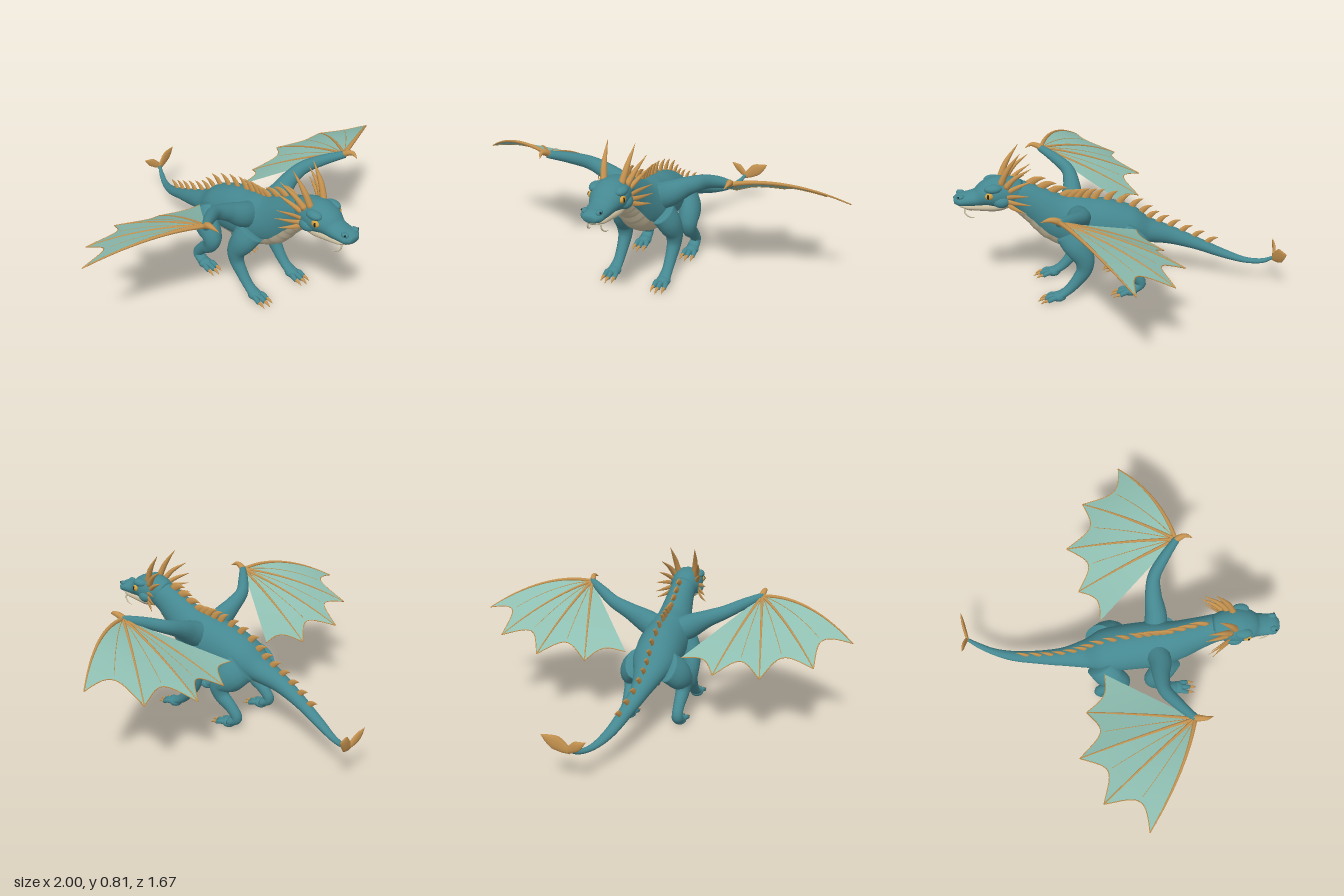
import * as THREE from 'three';

const mat = (name, color, side = THREE.FrontSide) => {
  const m = new THREE.MeshStandardMaterial({ color, side });
  m.name = name;
  return m;
};
const V = (a) => new THREE.Vector3(a[0], a[1], a[2]);
const X = V([1, 0, 0]), Y = V([0, 1, 0]), Z = V([0, 0, 1]);

// Smooth path through stations [x, y, z, halfWidth, halfHeight], with a frame at any t
function makePath(stations, ref = X) {
  const centre = new THREE.CatmullRomCurve3(stations.map(V));
  const size = new THREE.CatmullRomCurve3(stations.map((s) => V([s[3], s[4] ?? s[3], 0])));
  return (t) => {
    const p = centre.getPoint(t), T = centre.getTangent(t), r = size.getPoint(t);
    const S = ref.clone().addScaledVector(T, -ref.dot(T)).normalize();
    return { p, T, S, N: T.clone().cross(S), w: Math.max(r.x, 0), h: Math.max(r.y, 0) };
  };
}

// Skin a path with elliptical rings; an arc below a full turn gives an open strip
function skin(path, { seg = 20, sides = 12, t0 = 0, t1 = 1, a0 = 0, a1 = Math.PI * 2, scale = () => 1 } = {}) {
  const full = a1 - a0 > 6.28, cols = full ? sides : sides + 1;
  const pos = [], idx = [], first = full ? -1 : 0, last = full ? seg + 1 : seg;
  for (let i = first; i <= last; i++) {
    const t = t0 + (t1 - t0) * Math.min(seg, Math.max(0, i)) / seg;
    const f = path(t), k = i < 0 || i > seg ? 0 : scale(t, i);
    for (let j = 0; j < cols; j++) {
      const a = a0 + (a1 - a0) * j / sides;
      const q = f.p.clone().addScaledVector(f.S, Math.cos(a) * f.w * k).addScaledVector(f.N, Math.sin(a) * f.h * k);
      pos.push(q.x, q.y, q.z);
    }
  }
  for (let i = 0; i < last - first; i++) for (let j = 0; j < sides; j++) {
    const n = (j + 1) % cols, a = i * cols + j, b = i * cols + n;
    idx.push(a, b, a + cols, b, b + cols, a + cols);
  }
  const g = new THREE.BufferGeometry();
  g.setAttribute('position', new THREE.Float32BufferAttribute(pos, 3));
  g.setIndex(idx);
  g.computeVertexNormals();
  return g;
}

export function createModel() {
  const root = new THREE.Group();
  root.name = 'dragon';
  const teal = mat('teal hide', 0x458891);
  const cream = mat('cream belly', 0xc9bd9f);
  const gold = mat('golden horn', 0xc6934f);
  const web = mat('wing membrane', 0x8fbfb2, THREE.DoubleSide);
  const amber = mat('amber eye', 0xd9a23c);
  const dark = mat('dark pupil', 0x1d2426);

  const add = (name, geo, m, parent = root) => {
    const mesh = new THREE.Mesh(geo, m);
    mesh.name = name;
    parent.add(mesh);
    return mesh;
  };
  const sweep = (name, st, m, parent, ref, opt) => add(name, skin(makePath(st, ref), opt), m, parent);
  const ball = (name, p, r, m, parent, sc = [1, 1, 1]) => {
    const mesh = add(name, new THREE.SphereGeometry(r, 16, 12), m, parent);
    mesh.position.set(...p);
    mesh.scale.set(...sc);
  };
  const group = (name) => {
    const g = new THREE.Group();
    g.name = name;
    root.add(g);
    return g;
  };

  // Neck, trunk and tail in one sweep
  const body = makePath([
    [0, .585, .60, .07, .075], [0, .56, .51, .07, .08], [0, .50, .42, .08, .098], [0, .42, .31, .10, .128],
    [0, .385, .20, .12, .14], [0, .37, .08, .12, .135], [0, .345, -.05, .115, .112], [0, .312, -.15, .08, .068],
    [.005, .272, -.28, .05, .048], [.03, .222, -.42, .036, .033], [.07, .165, -.57, .027, .023],
    [.115, .14, -.68, .018, .015], [.155, .15, -.76, .014, .012], [.18, .18, -.81, .008, .008]]);
  add('body', skin(body, { seg: 90, sides: 28 }), teal);

  // Overlapping belly plates
  const plates = 15, rows = 6;
  add('bellyPlates', skin(body, {
    seg: plates * rows, sides: 14, t0: .06, t1: .56, a0: Math.PI * .2, a1: Math.PI * .8,
    scale: (t, i) => 1.012 + .03 * (i % rows) / rows
  }), cream);

  // Row of swept-back fins along the spine
  const spines = group('spines');
  for (let i = 0; i < 18; i++) {
    const k = i / 17, f = body(.095 + .625 * k), s = 1.05 - .25 * k;
    const at = (back, up, w, h) => {
      const q = f.p.clone().addScaledVector(f.N, -f.h - up * s).addScaledVector(f.T, back * s);
      return [q.x, q.y, q.z, w * s, h * s];
    };
    sweep('spine', [at(-.012, -.012, .009, .02), at(.004, .02, .008, .019), at(.024, .042, .005, .011), at(.05, .056, .001, .001)],
      gold, spines, X, { seg: 8, sides: 8 });
  }

  // Head with cream lower jaw
  const head = group('head');
  sweep('skull', [[0, .575, .50, .06, .065], [0, .585, .56, .082, .08], [0, .59, .62, .09, .08], [0, .585, .67, .082, .066],
    [0, .567, .72, .062, .044], [0, .562, .77, .058, .034], [0, .56, .81, .056, .031], [0, .556, .836, .03, .016]],
  teal, head, X, { seg: 30, sides: 20 });
  sweep('lowerJaw', [[0, .535, .56, .055, .03], [0, .523, .62, .064, .033], [0, .522, .70, .054, .026],
    [0, .527, .77, .048, .018], [0, .532, .81, .025, .01]], cream, head, X, { seg: 16, sides: 16 });

  for (const s of [1, -1]) {
    const side = s > 0 ? 'left' : 'right';
    const m = (list) => list.map(([x, ...r]) => [x * s, ...r]);

    // Brow, eye, cheek and nostril
    ball(side + 'Brow', [.066 * s, .63, .638], .03, teal, head, [.95, .75, 1.5]);
    ball(side + 'Eye', [.079 * s, .597, .66], .02, amber, head, [.7, .9, 1.1]);
    ball(side + 'Pupil', [.0895 * s, .598, .666], .0095, dark, head, [.5, 1.3, .7]);
    ball(side + 'Cheek', [.064 * s, .56, .60], .035, teal, head, [1, .95, 1.3]);
    ball(side + 'Nostril', [.035 * s, .584, .803], .015, teal, head, [1, .8, 1.4]);
    ball(side + 'NostrilHole', [.046 * s, .588, .813], .005, dark, head);

    // Crown horns, each [base, middle, tip]
    const horns = [
      [[.045, .64, .60, .018], [.058, .72, .565, .014], [.07, .81, .50, .001]],
      [[.06, .63, .575, .017], [.08, .685, .53, .012], [.103, .74, .45, .001]],
      [[.065, .61, .56, .014], [.09, .645, .51, .01], [.115, .68, .44, .001]]];
    for (const h of horns) sweep(side + 'Horn', m(h), gold, head, X, { seg: 10, sides: 8 });
    // Cheek frill
    for (const [dy, len] of [[.035, .115], [.0, .125], [-.03, .1]])
      sweep(side + 'Frill', m([[.07, .565 + dy * .4, .585, .006, .014], [.098, .56 + dy, .54, .005, .012],
        [.142, .56 + dy * 1.4, .585 - len, .001, .001]]), gold, head, X, { seg: 8, sides: 6 });
    // Chin whisker
    sweep(side + 'Whisker', m([[.03, .525, .785, .005], [.036, .495, .785, .004], [.042, .475, .76, .003], [.044, .472, .74, .001]]),
      cream, head, X, { seg: 10, sides: 6 });

    // Legs: path plus foot position
    const legs = [
      ['Front', .138, [[.10, .37, .26, .055, .08], [.125, .31, .235, .056, .07], [.138, .235, .197, .045, .053],
        [.138, .175, .198, .036, .042], [.137, .115, .235, .03, .032], [.137, .06, .285, .028, .025], [.138, .03, .335, .034, .02]], .335],
      ['Rear', .14, [[.085, .34, -.09, .055, .085], [.125, .29, -.045, .058, .085], [.142, .225, .015, .05, .055],
        [.142, .17, .0, .038, .042], [.14, .12, -.06, .03, .032], [.14, .065, -.10, .028, .028], [.14, .032, -.055, .034, .022]], -.045]];
    for (const [end, x, st, z] of legs) {
      const leg = group(side + end + 'Leg');
      sweep('leg', m(st), teal, leg, X, { seg: 30, sides: 16 });
      ball('foot', [x * s, .028, z], .036, teal, leg, [1, .72, 1.1]);
      for (const o of [-1, 0, 1]) {
        const tx = x + o * .025, reach = o ? 0 : .012;
        sweep('toe', m([[x + o * .015, .028, z, .013], [tx, .03, z + .03 + reach, .014], [tx + o * .004, .018, z + .06 + reach, .011]]),
          teal, leg, X, { seg: 8, sides: 8 });
        sweep('claw', m([[tx + o * .003, .021, z + .052 + reach, .0095], [tx + o * .004, .019, z + .075 + reach, .007],
          [tx + o * .005, .006, z + .098 + reach, .001]]), gold, leg, X, { seg: 6, sides: 8 });
      }
    }

    // Wing arm and wrist claw
    const wing = group(side + 'Wing');
    sweep('wingArm', m([[.04, .42, .21, .065, .075], [.13, .465, .222, .058, .065], [.22, .515, .215, .044, .046],
      [.31, .555, .225, .034, .036], [.40, .592, .285, .028, .029], [.487, .622, .357, .019, .019]]), teal, wing, Z, { seg: 30, sides: 14 });
    sweep('wristClaw', m([[.478, .618, .345, .018], [.488, .637, .375, .016], [.492, .643, .405, .011], [.482, .628, .44, .001]]),
      gold, wing, X, { seg: 12, sides: 8 });

    // Fingers: [tip, arch height, arch forward, thickness]
    const wrist = V([.485 * s, .622, .352]);
    const fingers = [
      [[.997, .502, .09], .055, .03, .012], [[.832, .43, -.12], .03, 0, .009], [[.586, .387, -.225], .022, 0, .009],
      [[.34, .358, -.175], .018, 0, .009], [[.15, .39, -.07], 0, 0, 0]
    ].map(([tip, up, fwd, r]) => ({
      r, at: (u) => V([tip[0] * s, tip[1], tip[2]]).sub(wrist).multiplyScalar(u).add(wrist)
        .add(V([0, up, fwd]).multiplyScalar(4 * u * (1 - u)))
    }));
    const ribbon = (name, fn, r0, r1, n = 6) => sweep(name,
      Array.from({ length: n + 1 }, (_, i) => [...fn(i / n).toArray(), r0 + (r1 - r0) * i / n]), gold, wing, Y, { seg: 14, sides: 6 });
    for (const f of fingers) if (f.r) ribbon('wingFinger', f.at, f.r, .003);

    // Scalloped membrane panels with a rim and a thin vein
    for (let k = 0; k < 4; k++) {
      const A = fingers[k], B = fingers[k + 1], depth = k === 3 ? .09 : .16;
      const panel = (u, v) => {
        const e = u * (1 - depth * Math.sin(Math.PI * v));
        return A.at(e).lerp(B.at(e), v);
      };
      const g = new THREE.PlaneGeometry(1, 1, 12, 12), p = g.attributes.position;
      for (let i = 0; i < p.count; i++) p.setXYZ(i, ...panel(p.getX(i) + .5, p.getY(i) + .5).toArray());
      g.computeVertexNormals();
      add('wingMembrane', g, web, wing);
      ribbon('membraneRim', (v) => panel(1, v), .0025, .0025, 10);
      if (k < 3) ribbon('membraneVein', (u) => panel(u * .95, .5), .0025, .0015);
    }
  }

  // Leaf-shaped blades at the tail tip
  const tail = group('tailBlades');
  sweep('tailBlade', [[.17, .165, -.805, .008, .006], [.20, .188, -.812, .026, .009], [.24, .217, -.82, .036, .009],
    [.275, .237, -.826, .022, .007], [.305, .255, -.832, .001, .001]], gold, tail, Y, { seg: 18, sides: 10 });
  sweep('tailBlade', [[.187, .17, -.808, .008, .006], [.165, .19, -.815, .02, .008], [.135, .213, -.824, .024, .008],
    [.11, .228, -.828, .014, .006], [.088, .242, -.83, .001, .001]], gold, tail, Y, { seg: 18, sides: 10 });

  return root;
}
